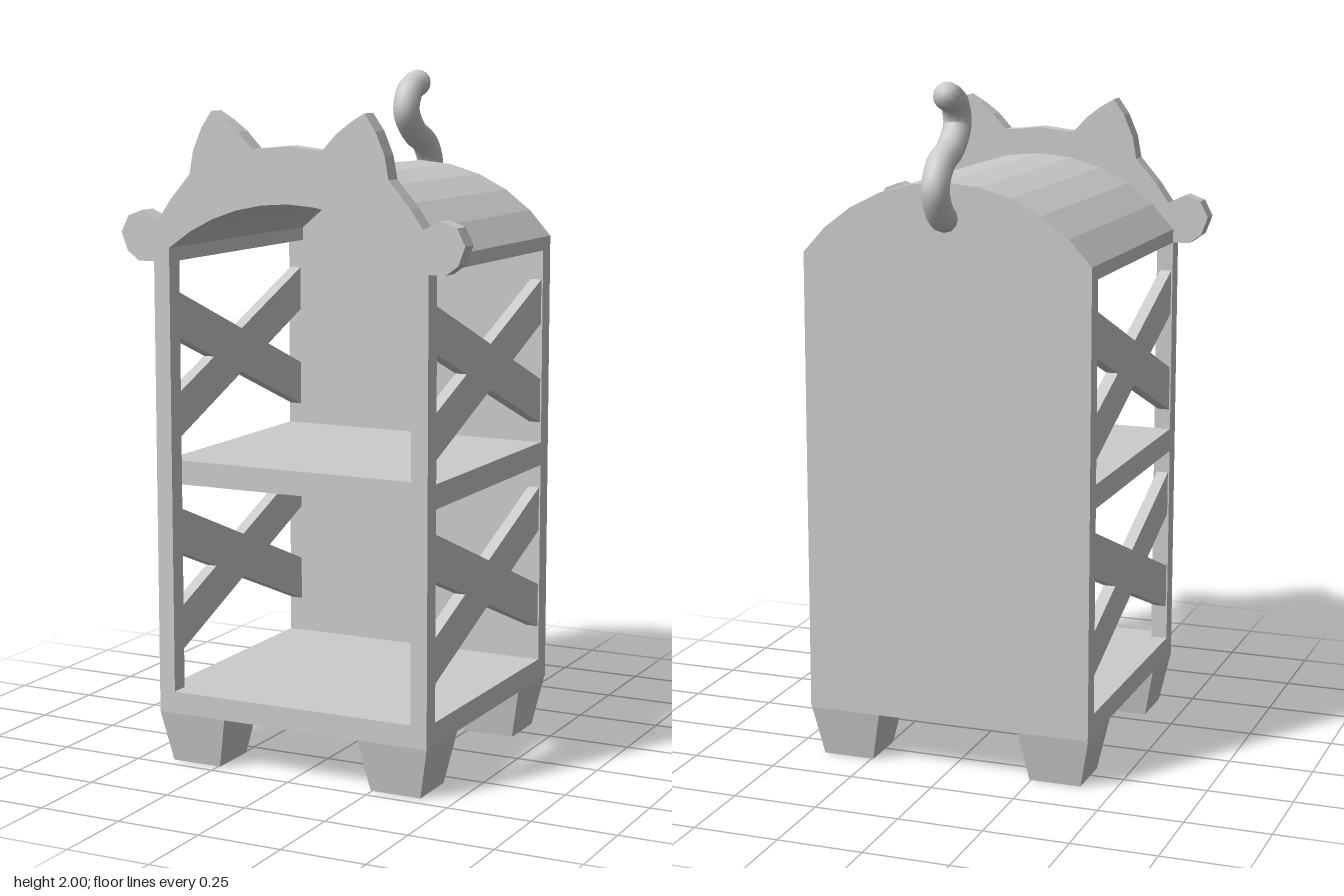
import * as THREE from 'three';

const flat = new THREE.MeshStandardMaterial({ color: 0xcccccc, flatShading: true });
const smooth = new THREE.MeshStandardMaterial({ color: 0xcccccc });

const W = 0.43, IN = 0.38;            // outer and inner half widths
const BACK = -0.375, BACK_IN = -0.32; // back panel
const FRONT_IN = 0.43, FRONT = 0.485; // front board
const BASE = 0.15, SPRING = 1.51;     // underside and start of the arch

// Points of a faceted arch from +half to -half
function arch(half, top, n = 10) {
  const rise = top - SPRING;
  const r = (half * half + rise * rise) / (2 * rise);
  const a = Math.asin(half / r);
  return Array.from({ length: n + 1 }, (_, i) => {
    const t = a - (2 * a * i) / n;
    return [r * Math.sin(t), top - r + r * Math.cos(t)];
  });
}

const vecs = (pts) => pts.map(([x, y]) => new THREE.Vector2(x, y));

// Plate in the xy plane between two depths
function plate(name, pts, z0, z1, hole) {
  const shape = new THREE.Shape(vecs(pts));
  if (hole) shape.holes.push(new THREE.Path(vecs(hole)));
  const geo = new THREE.ExtrudeGeometry(shape, { depth: z1 - z0, bevelEnabled: false });
  geo.translate(0, 0, z0);
  const mesh = new THREE.Mesh(geo, flat);
  mesh.name = name;
  return mesh;
}

function box(name, x0, x1, y0, y1, z0, z1) {
  const mesh = new THREE.Mesh(new THREE.BoxGeometry(x1 - x0, y1 - y0, z1 - z0), flat);
  mesh.position.set((x0 + x1) / 2, (y0 + y1) / 2, (z0 + z1) / 2);
  mesh.name = name;
  return mesh;
}

// Diagonal slat with upright ends, rising to the front (dir 1) or back (dir -1)
function slat(x, y, dir) {
  const geo = new THREE.BoxGeometry(0.035, 0.132, FRONT_IN - BACK_IN);
  const p = geo.attributes.position;
  for (let i = 0; i < p.count; i++) p.setY(i, p.getY(i) + dir * 0.4 * p.getZ(i));
  const mesh = new THREE.Mesh(geo, flat);
  mesh.position.set(x, y, (FRONT_IN + BACK_IN) / 2);
  mesh.name = 'crossSlat';
  return mesh;
}

// Square foot, tapering downward
function foot(x, z) {
  const geo = new THREE.BoxGeometry(0.215, BASE, 0.205);
  const p = geo.attributes.position;
  for (let i = 0; i < p.count; i++) {
    if (p.getY(i) < 0) {
      p.setX(i, p.getX(i) * 0.72);
      p.setZ(i, p.getZ(i) * 0.76);
    }
  }
  const mesh = new THREE.Mesh(geo, flat);
  mesh.position.set(x, BASE / 2, z);
  mesh.name = 'foot';
  return mesh;
}

export function createModel() {
  const model = new THREE.Group();
  model.name = 'catShelf';

  // Front board: head with pointed ears and round paws, arched opening
  const half = [
    [W, BASE], [W, 1.47], [0.48, 1.47], [0.517, 1.497], [0.537, 1.55], [0.513, 1.598],
    [0.465, 1.615], [0.413, 1.59], [0.375, 1.645], [0.31, 1.72], [0.298, 1.785],
    [0.27, 1.85], [0.237, 1.897], [0.195, 1.872], [0.152, 1.84], [0.11, 1.795], [0.08, 1.796],
  ];
  const mirrored = half.map(([x, y]) => [-x, y]).reverse();
  const opening = [[-IN, 0.215], [IN, 0.215], ...arch(IN, 1.645)];
  model.add(plate('frontBoard', [...half, [0, 1.805], ...mirrored], FRONT_IN, FRONT, opening));

  // Back panel and hollow arched roof
  const outer = arch(W, 1.725);
  model.add(plate('backPanel', [[-W, BASE], [W, BASE], ...outer], BACK, BACK_IN));
  const inner = arch(IN, 1.665).reverse();
  model.add(plate('roof', [[W, 1.47], ...outer, [-W, 1.47], [-IN, 1.47], ...inner, [IN, 1.47]],
    BACK_IN, FRONT_IN));

  // Floor and middle shelf
  model.add(box('floor', -W, W, BASE, 0.215, BACK_IN, FRONT_IN));
  model.add(box('shelf', -W, W, 0.82, 0.89, BACK_IN, FRONT_IN));

  // Crossed slats on both sides and the four feet
  for (const side of [-1, 1]) {
    for (const y of [0.535, 1.167]) {
      for (const dir of [-1, 1]) model.add(slat(side * 0.408, y, dir));
    }
    model.add(foot(side * 0.3225, 0.3825), foot(side * 0.3225, -0.2675));
  }

  // Curled tail with a rounded tip
  const path = new THREE.CatmullRomCurve3([
    [1.62, -0.345], [1.635, -0.40], [1.71, -0.443], [1.777, -0.405], [1.815, -0.325],
    [1.88, -0.272], [1.94, -0.298], [1.96, -0.35],
  ].map(([y, z]) => new THREE.Vector3(0, y, z)));
  const tail = new THREE.Group();
  tail.name = 'tail';
  const tube = new THREE.Mesh(new THREE.TubeGeometry(path, 40, 0.04, 12), smooth);
  tube.name = 'tailCurve';
  const tip = new THREE.Mesh(new THREE.SphereGeometry(0.04, 12, 8), smooth);
  tip.name = 'tailTip';
  tip.position.copy(path.getPoint(1));
  tail.add(tube, tip);
  model.add(tail);

  return model;
}
